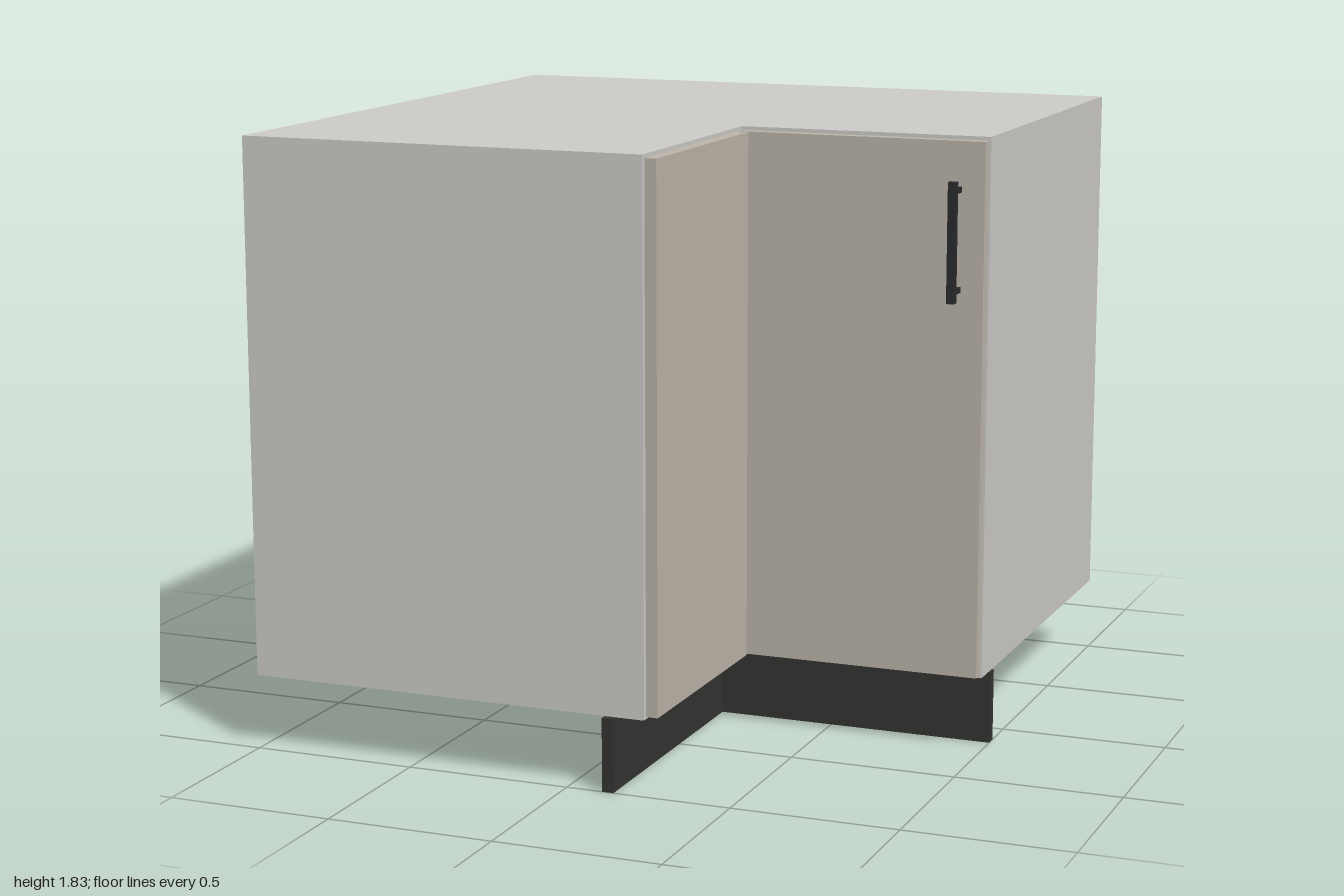
import * as THREE from 'three';

const carcassMat = new THREE.MeshStandardMaterial({ color: 0xcdccc8 });
const doorMat = new THREE.MeshStandardMaterial({ color: 0xbdb6aa });
const plinthMat = new THREE.MeshStandardMaterial({ color: 0x333331 });
const handleMat = new THREE.MeshStandardMaterial({ color: 0x2a2b2d });

// Box given by its minimum and maximum corners
function block(name, [x0, y0, z0], [x1, y1, z1], material) {
  const mesh = new THREE.Mesh(new THREE.BoxGeometry(x1 - x0, y1 - y0, z1 - z0), material);
  mesh.position.set((x0 + x1) / 2, (y0 + y1) / 2, (z0 + z1) / 2);
  mesh.name = name;
  return mesh;
}

export function createModel() {
  const model = new THREE.Group();
  model.name = 'cornerCabinet';

  const T = 0.035;               // board thickness
  const Y0 = 0.225, Y1 = 1.825;  // carcass bottom and top
  const F = 0.24;                // inner corner of the L
  const yi0 = Y0 + T, yi1 = Y1 - T;

  // L-shaped top and bottom boards
  const carcass = new THREE.Group();
  carcass.name = 'carcass';
  const outline = new THREE.Shape(
    [[-1, 1], [-1, -1], [F, -1], [F, -F], [1, -F], [1, 1]].map(([x, y]) => new THREE.Vector2(x, y)));
  const boardGeo = new THREE.ExtrudeGeometry(outline, { depth: T, bevelEnabled: false });
  boardGeo.rotateX(-Math.PI / 2);
  for (const [name, y] of [['bottomBoard', Y0], ['topBoard', yi1]]) {
    const board = new THREE.Mesh(boardGeo, carcassMat);
    board.name = name;
    board.position.y = y;
    carcass.add(board);
  }

  // Side boards, and a back panel set slightly in
  carcass.add(
    block('rightSide', [-1, yi0, -1], [-1 + T, yi1, 1], carcassMat),
    block('leftSide', [1 - T, yi0, -1], [1, yi1, F], carcassMat),
    block('frontEnd', [-1 + T, yi0, 1 - T], [F, yi1, 1], carcassMat),
    block('backPanel', [-1 + T, yi0, -0.99], [1 - T, yi1, -0.975], carcassMat));
  model.add(carcass);

  // Two doors meeting in the inner corner
  model.add(
    block('frontDoor', [0.245, 0.235, 0.247], [0.996, 1.815, 0.282], doorMat),
    block('sideDoor', [0.245, 0.235, 0.295], [0.28, 1.815, 0.996], doorMat));

  // Bar handle on two posts
  const handle = new THREE.Group();
  handle.name = 'handle';
  handle.add(block('handleBar', [0.908, 1.355, 0.333], [0.932, 1.705, 0.355], handleMat));
  for (const y of [1.386, 1.676]) {
    handle.add(block('handlePost', [0.912, y - 0.008, 0.282], [0.928, y + 0.008, 0.334], handleMat));
  }
  model.add(handle);

  // Recessed plinth boards
  model.add(
    block('frontPlinth', [0.145, 0, 0.112], [1, 0.218, 0.147], plinthMat),
    block('sidePlinth', [0.11, 0, 0.112], [0.145, 0.218, 1], plinthMat));

  return model;
}
